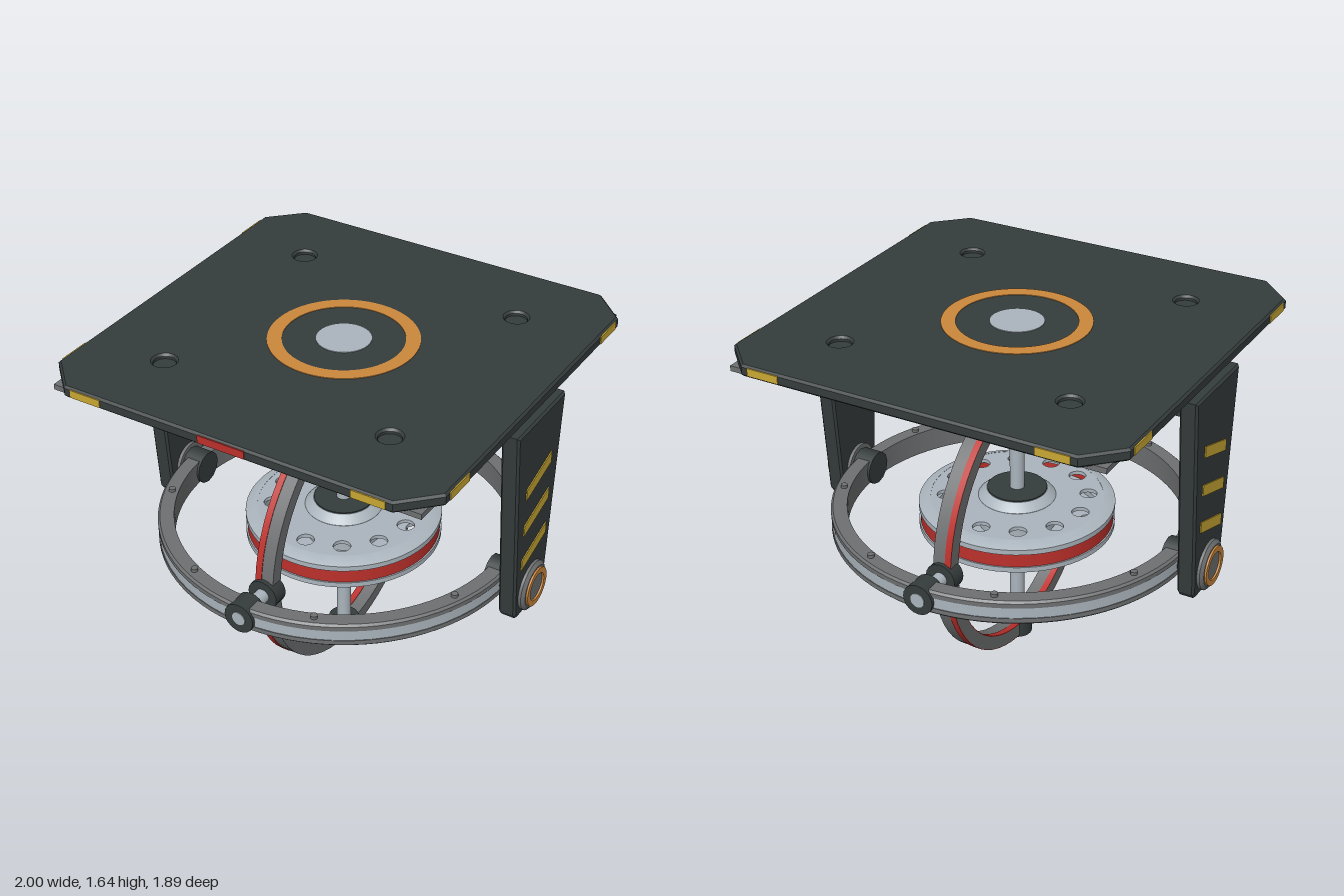
import * as THREE from 'three';
import { toCreasedNormals } from 'three/addons/utils/BufferGeometryUtils.js';

const mat = (name, color, side = THREE.FrontSide) => {
  const m = new THREE.MeshStandardMaterial({ color, side });
  m.name = name;
  return m;
};
const CY = 0.68; // height of the gimbal centre

export function createModel() {
  const root = new THREE.Group();
  root.name = 'gimbalTable';
  const dark = mat('charcoal', 0x353c3c);
  const grey = mat('midGrey', 0x6e7071);
  const silver = mat('silver', 0xabb5bd);
  const orange = mat('orange', 0xcb873c);
  const yellow = mat('yellow', 0xcaa833);
  const red = mat('red', 0xbc302b, THREE.DoubleSide);

  const add = (parent, name, geo, material, x = 0, y = 0, z = 0) => {
    const m = new THREE.Mesh(geo, material);
    m.name = name;
    m.position.set(x, y, z);
    parent.add(m);
    return m;
  };
  const group = (name, parent = root, y = 0) => {
    const g = new THREE.Group();
    g.name = name;
    g.position.y = y;
    parent.add(g);
    return g;
  };
  const lathe = (pts, seg = 64) =>
    toCreasedNormals(new THREE.LatheGeometry(pts.map(p => new THREE.Vector2(...p)), seg), 0.5);
  // Ring of rectangular section
  const band = (ri, ro, y0, y1) => lathe([[ri, y0], [ro, y0], [ro, y1], [ri, y1], [ri, y0]]);
  const poly = pts => new THREE.Shape(pts.map(p => new THREE.Vector2(...p)));
  const hole = (shape, x, y, r) => {
    const p = new THREE.Path();
    p.absarc(x, y, r, 0, Math.PI * 2, true);
    shape.holes.push(p);
  };
  const extrude = (shape, depth, bevel = 0) => new THREE.ExtrudeGeometry(shape, {
    depth: depth - 2 * bevel, bevelEnabled: bevel > 0, bevelThickness: bevel,
    bevelSize: bevel, bevelOffset: -bevel, bevelSegments: 1, curveSegments: 24,
  }).translate(0, 0, bevel);
  const flat = geo => geo.rotateX(-Math.PI / 2); // lay an extrusion down, thickness up
  const cyl = (r, h, seg = 32) => new THREE.CylinderGeometry(r, r, h, seg);
  const cylX = (r, x0, x1, seg) => cyl(r, x1 - x0, seg).rotateZ(Math.PI / 2).translate((x0 + x1) / 2, 0, 0);
  const corners = [[1, 1], [1, -1], [-1, -1], [-1, 1]];

  // Table top: chamfered square with four blind holes
  const top = group('tableTop');
  const a = 0.94, b = 0.79;
  const topShape = poly([[a, -b], [a, b], [b, a], [-b, a], [-a, b], [-a, -b], [-b, -a], [b, -a]]);
  corners.forEach(([x, z]) => hole(topShape, x * 0.555, z * 0.555, 0.05));
  add(top, 'topPlate', flat(extrude(topShape, 0.055, 0.01)), dark, 0, 1.585);
  corners.forEach(([x, z]) => {
    add(top, 'holeFloor', cyl(0.055, 0.012, 24), dark, x * 0.555, 1.612, z * 0.555);
    add(top, 'frameBolt', cyl(0.022, 0.025, 12), silver, x * 0.79, 1.555, z * 0.79);
  });
  add(top, 'orangeRing', band(0.27, 0.335, 0, 0.004), orange, 0, 1.639);
  add(top, 'centreDisc', cyl(0.122, 0.006, 48), silver, 0, 1.64);

  // Under frame and round base panel
  const f = 0.89, fi = 0.76;
  const frame = poly([[-f, -f], [f, -f], [f, f], [-f, f]]);
  frame.holes.push(new THREE.Path([[-fi, -fi], [-fi, fi], [fi, fi], [fi, -fi]].map(p => new THREE.Vector2(...p))));
  add(top, 'underFrame', flat(extrude(frame, 0.025)), grey, 0, 1.565);
  add(top, 'underDisc', cyl(0.545, 0.03, 64), grey, 0, 1.573);
  add(top, 'underDiscRing', band(0.54, 0.562, 1.564, 1.588), red);

  // Edge markings
  for (let i = 0; i < 4; i++) {
    const side = group('edgeMarkings', top);
    side.rotation.y = i * Math.PI / 2;
    for (const s of [-1, 1])
      add(side, 'yellowMark', new THREE.BoxGeometry(0.155, 0.036, 0.006), yellow, s * 0.682, 1.614, 0.941);
    if (i === 0) add(side, 'redMark', new THREE.BoxGeometry(0.225, 0.036, 0.006), red, 0, 1.614, 0.941);
  }

  // Tapered side arms with stripes, brackets and pivot caps
  const armShape = poly([[-0.12, 0.565], [0.12, 0.565], [0.138, 0.59], [0.218, 1.57], [-0.218, 1.57], [-0.138, 0.59]]);
  for (const s of [1, -1]) {
    const arm = group(s > 0 ? 'leftArm' : 'rightArm');
    if (s < 0) arm.rotation.y = Math.PI;
    add(arm, 'armPlate', extrude(armShape, 0.083, 0.01).rotateY(Math.PI / 2), dark, 0.882);
    add(arm, 'armBracket', new THREE.BoxGeometry(0.33, 0.14, 0.2), dark, 0.725, 1.5);
    for (const y of [0.83, 1.015, 1.203]) {
      const l = s > 0 ? y : y + 0.07, r = s > 0 ? y + 0.07 : y;
      const stripe = poly([[-0.112, l], [0.112, r], [0.112, r + 0.055], [-0.112, l + 0.055]]);
      add(arm, 'armStripe', extrude(stripe, 0.007).rotateY(Math.PI / 2), yellow, 0.963);
    }
    const pivot = group('armPivot', arm, CY);
    add(pivot, 'pivotCap', lathe([[0, 0], [0.118, 0], [0.118, 0.015], [0.1, 0.028], [0, 0.028]], 40)
      .rotateZ(-Math.PI / 2), grey, 0.963);
    add(pivot, 'pivotRing', band(0.066, 0.093, 0, 0.025).rotateZ(-Math.PI / 2), orange, 0.975);
    add(pivot, 'innerCap', cylX(0.1, 0.866, 0.885), grey);
    add(pivot, 'pivotBlock', cylX(0.08, 0.77, 0.87, 12), dark);
  }

  // Horizontal outer ring
  const outer = group('outerRing', root, CY);
  add(outer, 'outerRingBody', lathe([[0.785, -0.058], [0.85, -0.058], [0.86, -0.048], [0.86, -0.026],
    [0.852, -0.026], [0.852, 0.026], [0.86, 0.026], [0.86, 0.048], [0.85, 0.058], [0.785, 0.058],
    [0.785, -0.058]], 96), grey);
  add(outer, 'outerRingBand', band(0.84, 0.857, -0.026, 0.026), silver);
  for (let i = 0; i < 8; i++) {
    const t = (i + 0.5) * Math.PI / 4;
    add(outer, 'ringBolt', cyl(0.016, 0.02, 10), grey, 0.815 * Math.cos(t), 0.063, 0.815 * Math.sin(t));
  }
  // Front and back pivots joining the two rings
  for (const s of [1, -1]) {
    const p = group(s > 0 ? 'frontPivot' : 'backPivot', outer);
    p.rotation.y = -s * Math.PI / 2;
    add(p, 'pivotBlock', cylX(0.073, 0.77, 0.87, 20), dark);
    add(p, 'pivotCollar', cylX(0.073, 0.61, 0.685, 20), dark);
    add(p, 'pivotPin', cylX(0.034, 0.6, 0.874, 20), silver);
  }

  // Upright inner ring, with a red band along its right edge
  const inner = group('innerRing', root, CY);
  add(inner, 'innerRingBody', band(0.607, 0.669, -0.045, 0.045).rotateZ(-Math.PI / 2), grey);
  for (const [ri, ro] of [[0.604, 0.608], [0.668, 0.672]])
    add(inner, 'innerRingBand', band(ri, ro, -0.045, -0.014).rotateZ(-Math.PI / 2), red);
  for (const s of [1, -1]) add(inner, 'axleClamp', cyl(0.072, 0.085, 24), dark, 0, s * 0.637);
  add(inner, 'axle', cyl(0.034, 1.3, 24), silver);

  // Flywheel: two pierced faces around a hollow red rim
  const wheel = group('flywheel', root, CY);
  add(wheel, 'rimBand', new THREE.CylinderGeometry(0.448, 0.448, 0.08, 64, 1, true), red);
  for (const s of [1, -1]) {
    const half = group(s > 0 ? 'upperHalf' : 'lowerHalf', wheel);
    if (s < 0) half.rotation.x = Math.PI;
    add(half, 'rim', lathe([[0.4, 0.033], [0.455, 0.033], [0.455, 0.058], [0.405, 0.08], [0.4, 0.08], [0.4, 0.033]]), silver);
    const face = new THREE.Shape();
    face.absarc(0, 0, 0.402, 0, Math.PI * 2, false);
    for (let i = 0; i < 12; i++)
      hole(face, 0.33 * Math.cos(i * Math.PI / 6), 0.33 * Math.sin(i * Math.PI / 6), 0.04);
    add(half, 'piercedFace', flat(extrude(face, 0.018)), silver, 0, 0.061);
    add(half, 'hub', lathe([[0.18, 0], [0.18, 0.08], [0.172, 0.09], [0.14, 0.116], [0, 0.116]], 48), silver);
    add(half, 'hubCap', cyl(0.138, 0.012, 32), dark, 0, 0.116);
  }
  return root;
}
